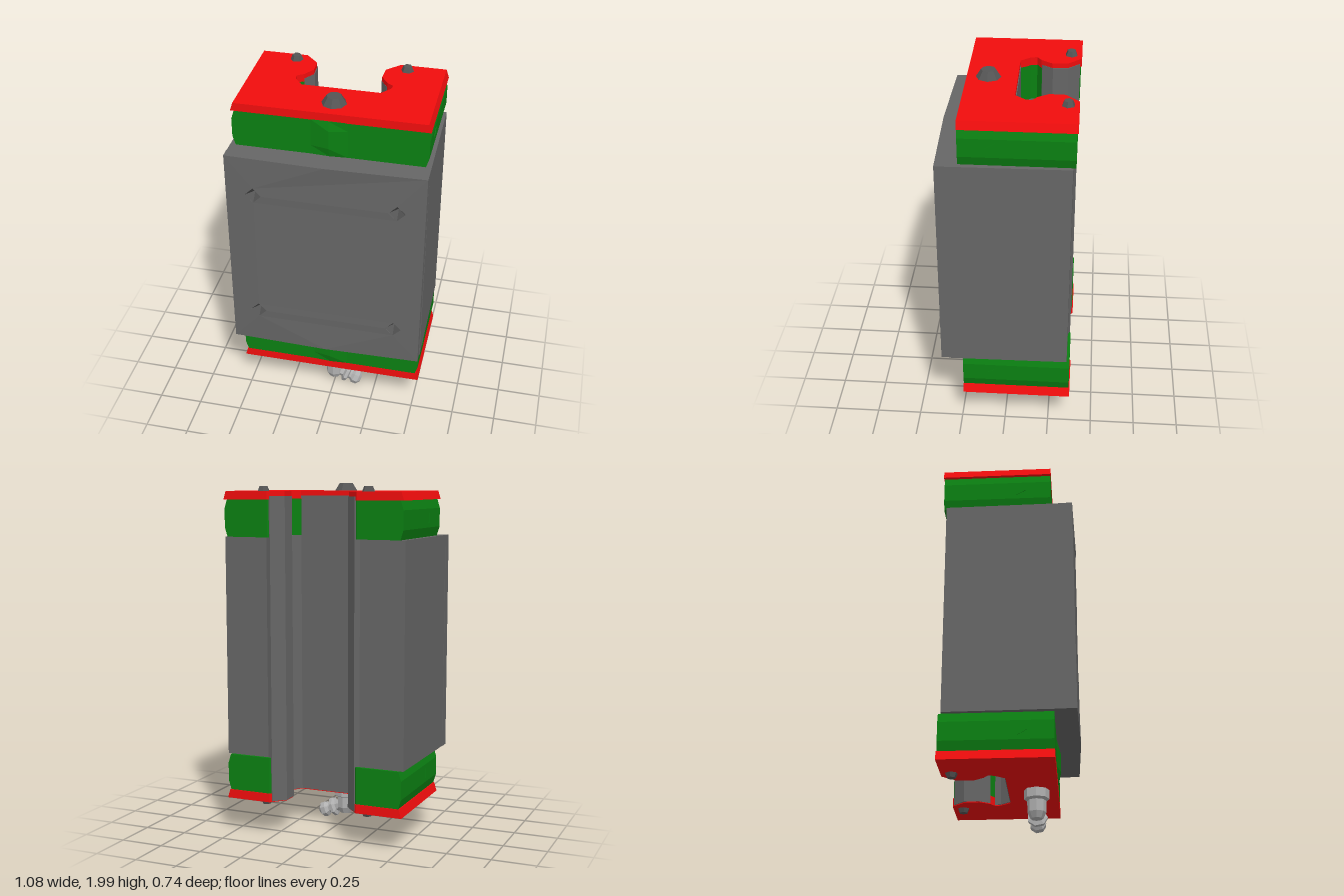
import * as THREE from 'three';

const mat = (color) => new THREE.MeshStandardMaterial({ color, flatShading: true });

// right half of the rail slot as (x, z), from the back opening to the floor
const SLOT = [[0.26, -0.37], [0.188, -0.3], [0.185, -0.215], [0.225, -0.155], [0.262, -0.13], [0.255, -0.095], [0.21, -0.04]];

// extrude an (x, z) outline upward from y0 to y1
function prism(points, y0, y1, steps = 1) {
  const shape = new THREE.Shape(points.map(([x, z]) => new THREE.Vector2(x, -z)));
  const geo = new THREE.ExtrudeGeometry(shape, { depth: y1 - y0, steps, bevelEnabled: false });
  return geo.rotateX(-Math.PI / 2).translate(0, y0, 0);
}

// U-shaped outline: rail slot at the back, straight sides, front corners
function uOutline(backW, frontW, back, front, slot, mid = []) {
  const mirrored = slot.map(([x, z]) => [-x, z]).reverse();
  return [[backW, back], ...slot, ...mirrored, [-backW, back], [-frontW, front], ...mid, [frontW, front]];
}

// move every vertex by a rule
function warp(geo, rule) {
  const p = geo.attributes.position;
  const v = new THREE.Vector3();
  for (let i = 0; i < p.count; i++) {
    rule(v.fromBufferAttribute(p, i));
    p.setXYZ(i, v.x, v.y, v.z);
  }
  geo.computeVertexNormals();
  return geo;
}

export function createModel() {
  const model = new THREE.Group();
  const steel = mat(0x666666);
  const red = mat(0xf20d0d);
  const green = mat(0x0b8012);
  const light = mat(0xb0b0b0);
  const dark = mat(0x555555);
  const add = (name, geo, material, parent = model) => {
    const mesh = new THREE.Mesh(geo, material);
    mesh.name = name;
    parent.add(mesh);
    return mesh;
  };

  // steel carriage block
  const bodySlot = SLOT.map(([x, z], i) => (i ? [x, z] : [0.24, -0.35]));
  add('carriageBody', prism(uOutline(0.533, 0.541, -0.35, 0.3, bodySlot), 0.467, 1.706), steel);

  // slightly bowed mounting face with four tapered holes
  const holes = [];
  for (const x of [-0.39, 0.39]) for (const y of [0.69, 1.48]) holes.push([x, y]);
  const face = new THREE.Shape([[-0.543, 0.467], [0, 0.467], [0.537, 0.467], [0.541, 1.706], [0, 1.706], [-0.543, 1.706]]
    .map(([x, y]) => new THREE.Vector2(x, y)));
  const bow = (x) => 0.369 - 0.014 * Math.pow(Math.abs(x) / 0.54, 3);
  const r = 0.045;
  for (const [x, y] of holes) {
    face.holes.push(new THREE.Path([[0, r], [r, 0], [0, -r], [-r, 0]].map(([a, b]) => new THREE.Vector2(x + a, y + b))));
  }
  const faceGeo = new THREE.ExtrudeGeometry(face, { depth: 0.07, bevelEnabled: false });
  add('mountingFace', warp(faceGeo, (v) => { v.z = v.z > 0.01 ? bow(v.x) : 0.3; }), steel);
  const pitMat = mat(0x555555);
  pitMat.side = THREE.BackSide;
  for (const [x, y] of holes) {
    const pit = add('mountingHole', new THREE.ConeGeometry(r, 0.05, 4, 1, true), pitMat);
    pit.rotation.x = -Math.PI / 2;
    pit.position.set(x, y, bow(x) - 0.026);
  }

  // raceway lining that runs through both end caps
  for (const s of [-1, 1]) {
    const side = (pts) => pts.map(([x, z]) => [s * x, z]);
    add('racewayLip', prism(side([[0.25, -0.362], ...SLOT.slice(1, 5), [0.3, -0.13], [0.3, -0.34]]), 0.215, 1.93), steel);
    add('racewayNotch', prism(side([...SLOT.slice(4), [0.21, 0], [0.3, 0], [0.3, -0.13]]), 0.215, 1.7), steel);
  }
  add('racewayFloor', prism([[-0.21, -0.04], [0.21, -0.04], [0.21, 0], [-0.21, 0]], 0.215, 1.93), steel);

  // end caps and wiper plates, slot a touch wider than the lining
  const capSlot = SLOT.map(([x, z], i) => [x + 0.004, i === 0 ? -0.366 : z + 0.004]);
  const plateSlot = capSlot.map(([x, z], i) => [x, i ? z : -0.371]);
  const mid = [[-0.1, 0.236], [0, 0.236], [0.1, 0.236]];
  for (const [name, y0, y1, p0, p1] of [['lower', 0.26, 0.467, 0.21, 0.26], ['upper', 1.706, 1.913, 1.911, 1.957]]) {
    // green cap with swollen sides and front centre
    const cap = prism(uOutline(0.51, 0.51, -0.366, 0.236, capSlot, mid), y0, y1, 4);
    add(name + 'EndCap', warp(cap, (v) => {
      const t = (v.y - y0) / (y1 - y0);
      const f = t > 0.1 && t < 0.9 ? 1 : 0;
      if (Math.abs(v.x) > 0.5) v.x += Math.sign(v.x) * 0.016 * f;
      if (v.z > 0.2 && Math.abs(v.x) < 0.01) v.z += 0.006 + 0.014 * f;
    }), green);

    // red plate, its sides leaning in towards the top
    const plate = prism(uOutline(0.53, 0.53, -0.371, 0.237, plateSlot), p0, p1);
    add(name + 'WiperPlate', warp(plate, (v) => {
      if (v.y > (p0 + p1) / 2 && Math.abs(v.x) > 0.5) v.x = Math.sign(v.x) * 0.515;
    }), red);

    // small side ports
    for (const s of [-1, 1]) {
      const port = add(name + 'SidePort', new THREE.CylinderGeometry(0.035, 0.035, 0.008, 3), green);
      port.rotation.z = Math.PI / 2;
      port.position.set(s * 0.525, (y0 + y1) / 2, 0.06);
    }

    // plate screws
    for (const s of [-1, 1]) {
      const up = name === 'upper';
      const screw = add(name + 'PlateScrew', new THREE.CylinderGeometry(0.024, 0.045, 0.05, 6), dark);
      screw.position.set(s * 0.31, up ? 1.96 : 0.21, -0.313);
      screw.rotation.set(up ? 0 : Math.PI, 0.4 * s, 0);
    }
  }

  // plug closing the upper lubrication port
  add('portPlug', new THREE.CylinderGeometry(0.04, 0.076, 0.055, 8), dark).position.set(0, 1.9725, 0.12);

  // grease fitting with an angled nozzle
  const fitting = new THREE.Group();
  fitting.name = 'greaseFitting';
  fitting.position.set(0, 0, 0.12);
  model.add(fitting);
  const stem = [[0, 0.045], [0.035, 0.05], [0.052, 0.085], [0.052, 0.15], [0.07, 0.16], [0.07, 0.22], [0, 0.22]];
  add('fittingStem', new THREE.LatheGeometry(stem.map(([a, b]) => new THREE.Vector2(a, b)), 8), light, fitting);
  const tip = [[0, 0], [0.034, 0], [0.034, 0.04], [0.057, 0.05], [0.055, 0.068], [0.03, 0.078], [0.03, 0.09], [0.046, 0.107], [0.044, 0.135], [0.022, 0.154], [0, 0.156]];
  const nozzle = add('fittingNozzle', new THREE.LatheGeometry(tip.map(([a, b]) => new THREE.Vector2(a, b)), 7), light, fitting);
  nozzle.position.set(0.02, 0.097, 0);
  nozzle.rotation.z = -1.95;

  return model;
}
